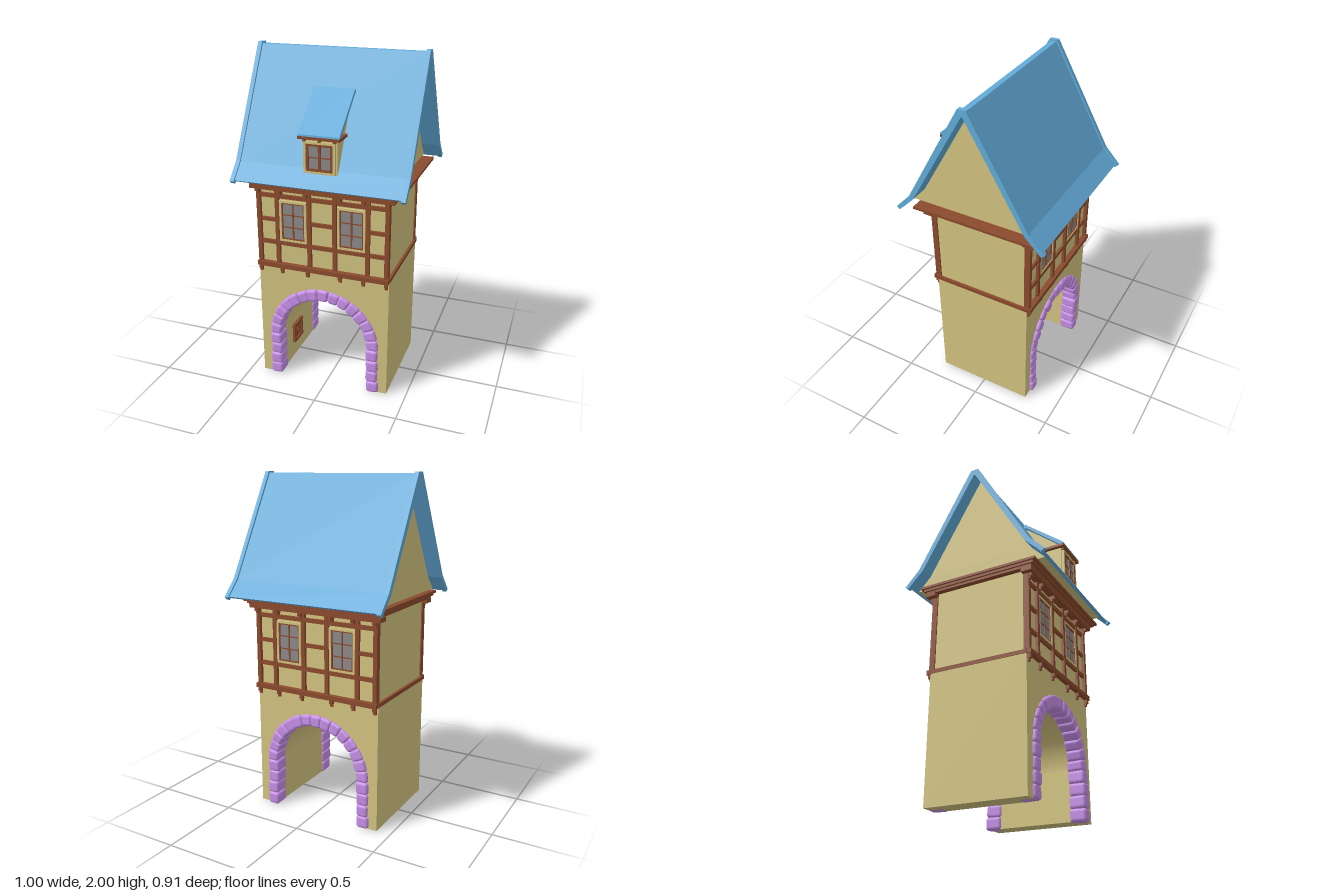
import * as THREE from 'three';
import { RoundedBoxGeometry } from 'three/addons/geometries/RoundedBoxGeometry.js';

const mat = (color, extra = {}) => new THREE.MeshStandardMaterial({ color, ...extra });
const PLASTER = mat(0xd1c27f);
const ROOF = mat(0x62abd9);
const WOOD = mat(0x8a4a2c);
const STONE = mat(0xc58ee6);
const GLASS = mat(0x8a8888);
const CX = -0.015; // middle of the facade

let seed = 7;
const jitter = (a) => {
  seed = (seed * 16807) % 2147483647;
  return (seed / 2147483647 - 0.5) * 2 * a;
};

function add(parent, name, geometry, material) {
  const mesh = new THREE.Mesh(geometry, material);
  mesh.name = name;
  parent.add(mesh);
  return mesh;
}

// Box given by its limits on each axis
function box(parent, name, material, x0, x1, y0, y1, z0, z1) {
  const m = add(parent, name, new THREE.BoxGeometry(x1 - x0, y1 - y0, z1 - z0), material);
  m.position.set((x0 + x1) / 2, (y0 + y1) / 2, (z0 + z1) / 2);
  return m;
}

// Prism running along x from a (z, y) outline
function prism(parent, name, material, points, x0, x1) {
  const shape = new THREE.Shape(points.map(([z, y]) => new THREE.Vector2(-z, y)));
  const g = new THREE.ExtrudeGeometry(shape, { depth: x1 - x0, bevelEnabled: false });
  g.rotateY(Math.PI / 2).translate(x0, 0, 0);
  return add(parent, name, g, material);
}

// Closed outline from one half, reflected in z
const mirrored = (half) => [...half, ...half.map(([z, y]) => [-z, y]).reverse()];

// Outline of a bent roof skin: outer half then inner half
function skin(outer, inner) {
  return [...mirrored(outer), ...mirrored(inner).reverse()];
}

// Window centred on x, y with its back on the plane z
function makeWindow(parent, x, y, z, w, h, rows, border) {
  const g = new THREE.Group();
  g.name = 'window';
  g.position.set(x, y, z);
  parent.add(g);
  const W = w / 2, H = h / 2, b = border;
  box(g, 'windowGlass', GLASS, -W + b, W - b, -H + b, H - b, 0, 0.006);
  for (const s of [-1, 1]) {
    const e = s * (W - b / 2), t = s * (H - b / 2);
    box(g, 'windowSurround', PLASTER, e - b / 2, e + b / 2, -H, H, 0, 0.016);
    box(g, 'windowSurround', PLASTER, -W + b, W - b, t - b / 2, t + b / 2, 0, 0.016);
    const fx = s * (W - b - 0.003), fy = s * (H - b - 0.003);
    box(g, 'windowFrame', WOOD, fx - 0.004, fx + 0.004, -H + b, H - b, 0, 0.013);
    box(g, 'windowFrame', WOOD, -W + b, W - b, fy - 0.004, fy + 0.004, 0, 0.013);
  }
  box(g, 'mullion', WOOD, -0.004, 0.004, -H + b, H - b, 0, 0.011);
  for (let i = 1; i < rows; i++) {
    const gy = -H + b + ((h - 2 * b) * i) / rows;
    box(g, 'glazingBar', WOOD, -W + b, W - b, gy - 0.003, gy + 0.003, 0, 0.01);
  }
  return g;
}

// Ring of rough stones around one mouth of the passage
function makeStoneArch() {
  const arch = new THREE.Group();
  arch.name = 'stoneArch';
  const R = 0.308, spring = 0.285, legs = 4, n = 15;
  const place = (x, y, angle, length) => {
    const g = new RoundedBoxGeometry(0.074 + jitter(0.003), length + 0.004, 0.1, 3, 0.018);
    // widen the outer end to form a wedge on the curve
    const p = g.attributes.position, taper = angle === null ? 0 : 1;
    for (let i = 0; i < p.count; i++) {
      p.setY(i, p.getY(i) * (1 + (taper * p.getX(i)) / R));
    }
    g.computeVertexNormals();
    const m = add(arch, 'archStone', g, STONE);
    m.position.set(x, y, 0.268 + jitter(0.004));
    m.rotation.set(jitter(0.05), jitter(0.06), (angle ?? 0) + jitter(0.035));
  };
  const step = spring / legs;
  for (const s of [-1, 1]) {
    for (let i = 0; i < legs; i++) place(s * R + jitter(0.003), (i + 0.5) * step, null, step);
  }
  for (let i = 0; i < n; i++) {
    const a = ((i + 0.5) / n) * Math.PI;
    place(Math.cos(a) * R, spring + Math.sin(a) * R, a, (Math.PI * R) / n);
  }
  return arch;
}

// Timber framing and windows of one long face, x measured from its middle
function makeFacade() {
  const f = new THREE.Group();
  f.name = 'timberFacade';
  const z0 = 0.28, z1 = 0.312;
  const posts = [-0.385, -0.272, -0.077, 0.077, 0.272, 0.385];
  for (const x of posts) {
    const out = Math.abs(x) > 0.38 ? 0.003 : 0;
    box(f, 'post', WOOD, x - 0.012, x + 0.012, 0.76, 1.26, z0, z1 + out);
  }
  for (const y of [0.9, 1.188]) box(f, 'rail', WOOD, -0.385, 0.385, y - 0.012, y + 0.012, z0, z1 - 0.003);
  for (const [a, b] of [[-0.385, -0.272], [-0.077, 0.077], [0.272, 0.385]]) {
    box(f, 'shortRail', WOOD, a, b, 1.03, 1.052, z0, z1 - 0.003);
  }
  for (const s of [-1, 1]) makeWindow(f, s * 0.176, 1.04, 0.294, 0.165, 0.25, 3, 0.013);
  box(f, 'sillBeam', WOOD, -0.402, 0.402, 0.745, 0.772, z0, 0.327);
  for (const x of [-0.385, -0.25, -0.09, 0.11, 0.25, 0.385]) {
    box(f, 'lowerCorbel', WOOD, x - 0.01, x + 0.01, 0.722, 0.746, z0, 0.32);
    box(f, 'lowerCorbel', WOOD, x - 0.009, x + 0.009, 0.705, 0.723, z0, 0.311);
    box(f, 'upperCorbel', WOOD, x - 0.01, x + 0.01, 1.212, 1.236, z0, 0.333);
    box(f, 'upperCorbel', WOOD, x - 0.009, x + 0.009, 1.198, 1.213, z0, 0.322);
  }
  box(f, 'eavesBeam', WOOD, -0.425, 0.43, 1.232, 1.258, z0, 0.343);
  return f;
}

export function createModel() {
  const model = new THREE.Group();
  model.name = 'gatehouse';

  // Lower storey with the arched passage cut through
  const r = 0.285, x0 = -0.417, x1 = 0.385;
  const wall = new THREE.Shape();
  wall.moveTo(x0, 0).lineTo(CX - r, 0).lineTo(CX - r, 0.285);
  wall.absarc(CX, 0.285, r, Math.PI, 0, true);
  wall.lineTo(CX + r, 0).lineTo(x1, 0).lineTo(x1, 0.76).lineTo(x0, 0.76);
  const wallGeo = new THREE.ExtrudeGeometry(wall, { depth: 0.6, bevelEnabled: false, curveSegments: 32 });
  add(model, 'gateWall', wallGeo.translate(0, 0, -0.3), PLASTER);

  // Upper storey
  box(model, 'upperWall', PLASTER, -0.405, 0.375, 0.75, 1.29, -0.295, 0.295);
  for (const s of [-1, 1]) {
    const e = CX + s * 0.39;
    box(model, 'sideSill', WOOD, e - 0.015, e + 0.015, 0.747, 0.77, -0.3, 0.3);
  }

  // Both long faces
  for (const turn of [0, Math.PI]) {
    const side = new THREE.Group();
    side.name = turn ? 'backFace' : 'frontFace';
    side.position.x = CX;
    side.rotation.y = turn;
    side.add(makeFacade(), makeStoneArch());
    model.add(side);
  }

  // Stepped cornice
  box(model, 'lowerCornice', WOOD, -0.437, 0.425, 1.255, 1.27, -0.343, 0.343);
  box(model, 'middleCornice', WOOD, -0.447, 0.443, 1.27, 1.285, -0.358, 0.358);
  box(model, 'upperCornice', WOOD, -0.457, 0.462, 1.285, 1.3, -0.374, 0.374);

  // Gables, roof and verge boards
  const gable = mirrored([[0.418, 1.3], [0.34, 1.385], [0.01, 1.97]]);
  prism(model, 'gable', PLASTER, gable, -0.417, 0.39);
  const inner = [[0.425, 1.293], [0.338, 1.385], [0.006, 1.965]];
  prism(model, 'roof', ROOF, skin([[0.44, 1.303], [0.356, 1.392], [0.016, 1.99]], inner), -0.478, 0.478);
  const verge = skin(
    [[0.455, 1.3], [0.364, 1.396], [0.024, 2]],
    [[0.436, 1.284], [0.338, 1.383], [0.004, 1.962]]
  );
  prism(model, 'vergeBoard', ROOF, verge, -0.5, -0.475);
  prism(model, 'vergeBoard', ROOF, verge, 0.475, 0.5);

  // Shed dormer on the front slope
  const dormer = new THREE.Group();
  dormer.name = 'dormer';
  model.add(dormer);
  prism(dormer, 'dormerWall', PLASTER, [[0.375, 1.37], [0.375, 1.582], [0.15, 1.766], [0.12, 1.74], [0.33, 1.37]], -0.09, 0.105);
  prism(dormer, 'dormerRoof', ROOF, [[0.4, 1.578], [0.398, 1.59], [0.145, 1.796], [0.13, 1.775], [0.16, 1.76], [0.375, 1.578]], -0.11, 0.125);
  box(dormer, 'dormerEavesBoard', WOOD, -0.111, 0.126, 1.564, 1.58, 0.27, 0.4);
  for (const x of [-0.078, 0.008, 0.093]) {
    box(dormer, 'dormerBracket', WOOD, x - 0.008, x + 0.008, 1.55, 1.566, 0.36, 0.39);
  }
  makeWindow(dormer, 0.0075, 1.464, 0.374, 0.18, 0.176, 2, 0.013);
  for (const x of [-0.062, 0.008, 0.077]) {
    box(dormer, 'dormerWindowFrame', WOOD, x - 0.007, x + 0.007, 1.39, 1.538, 0.374, 0.39);
  }
  for (const y of [1.394, 1.534]) {
    box(dormer, 'dormerWindowFrame', WOOD, -0.069, 0.084, y - 0.007, y + 0.007, 0.374, 0.389);
  }

  // Small hatch on the passage wall
  const hatch = new THREE.Group();
  hatch.name = 'hatch';
  model.add(hatch);
  const hx = CX - r, hy = 0.17, hz = 0.05;
  box(hatch, 'hatchPanel', WOOD, hx, hx + 0.008, hy - 0.055, hy + 0.055, hz - 0.055, hz + 0.055);
  for (const s of [-1, 1]) {
    const a = s * 0.055;
    box(hatch, 'hatchFrame', WOOD, hx, hx + 0.018, hy + a - 0.009, hy + a + 0.009, hz - 0.064, hz + 0.064);
    box(hatch, 'hatchFrame', WOOD, hx, hx + 0.016, hy - 0.055, hy + 0.055, hz + a - 0.009, hz + a + 0.009);
  }
  const ring = add(hatch, 'hatchRing', new THREE.TorusGeometry(0.02, 0.004, 6, 16), WOOD);
  ring.position.set(hx + 0.011, hy, hz);
  ring.rotation.y = Math.PI / 2;

  return model;
}
